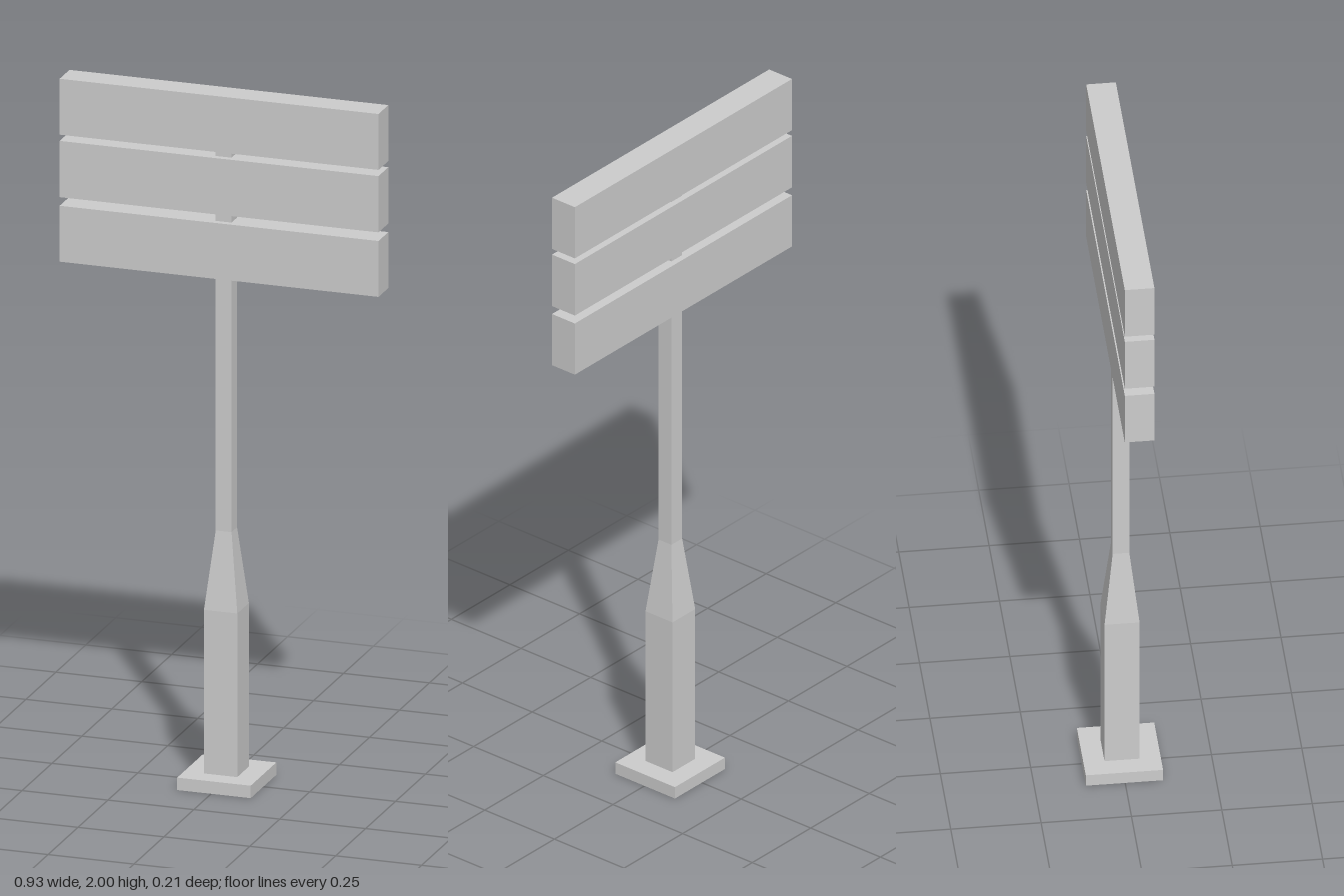
import * as THREE from 'three';

export function createModel() {
  const sign = new THREE.Group();
  sign.name = 'signpost';
  const material = new THREE.MeshStandardMaterial({ color: 0xcccccc, flatShading: true });

  function add(name, geometry, x, y, z) {
    const mesh = new THREE.Mesh(geometry, material);
    mesh.name = name;
    mesh.position.set(x, y, z);
    sign.add(mesh);
  }

  // Four-sided post section, with full widths at its bottom and top
  function addSection(name, bottomWidth, topWidth, y0, y1, capped) {
    const geometry = new THREE.CylinderGeometry(
      topWidth * Math.SQRT1_2, bottomWidth * Math.SQRT1_2, y1 - y0, 4, 1, !capped, Math.PI / 4);
    add(name, geometry, 0.007, (y0 + y1) / 2, -0.002);
  }

  // Base plate
  add('basePlate', new THREE.BoxGeometry(0.214, 0.036, 0.214), 0.008, 0.018, -0.002);

  // Post: thick foot, taper and slim upper pole
  addSection('lowerPost', 0.097, 0.097, 0.036, 0.51, false);
  addSection('postTaper', 0.097, 0.046, 0.51, 0.735, false);
  addSection('upperPost', 0.046, 0.046, 0.735, 1.9, true);

  // Three horizontal boards
  const boards = [['lowerBoard', 1.47, 1.632], ['middleBoard', 1.657, 1.82], ['upperBoard', 1.838, 2]];
  for (const [name, y0, y1] of boards) {
    add(name, new THREE.BoxGeometry(0.928, y1 - y0, 0.082), 0, (y0 + y1) / 2, -0.002);
  }
  return sign;
}
